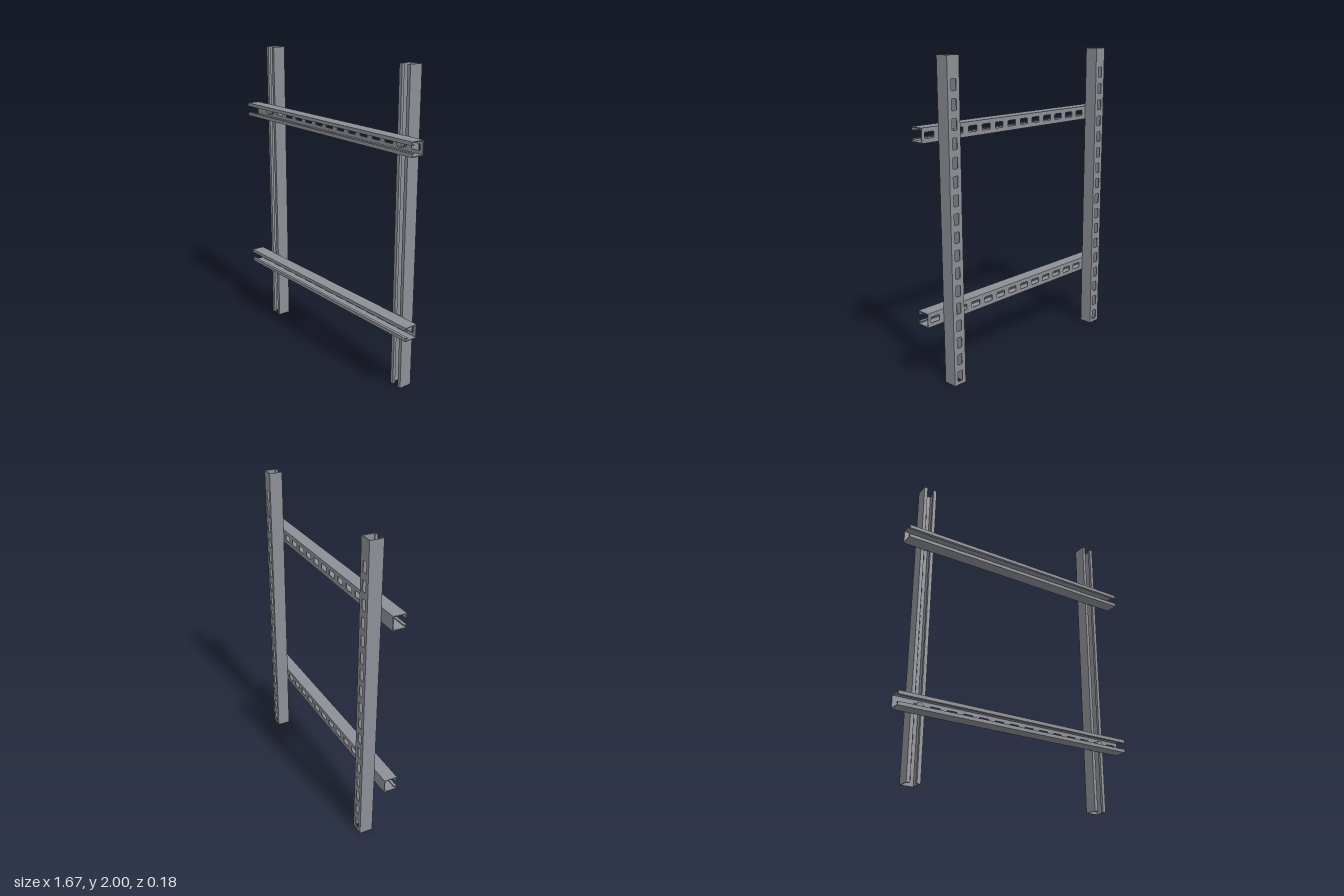
import * as THREE from 'three';

const W = 0.089;      // channel width
const D = 0.088;      // channel depth
const T = 0.0055;     // sheet thickness
const LIP = 0.0225;   // lip width
const RETURN = 0.019; // depth of the inward return
const PITCH = 0.1113; // slot spacing

const steel = new THREE.MeshStandardMaterial({ color: 0x8c8f96 });
steel.name = 'galvanised steel';

function mesh(name, geometry) {
  const m = new THREE.Mesh(geometry, steel);
  m.name = name;
  return m;
}

// Small rounded rectangle used for the slots
function slotPath(cx, cy, w, h, r) {
  const p = new THREE.Path();
  const x = w / 2, y = h / 2;
  p.moveTo(cx - x + r, cy - y);
  p.lineTo(cx + x - r, cy - y);
  p.quadraticCurveTo(cx + x, cy - y, cx + x, cy - y + r);
  p.lineTo(cx + x, cy + y - r);
  p.quadraticCurveTo(cx + x, cy + y, cx + x - r, cy + y);
  p.lineTo(cx - x + r, cy + y);
  p.quadraticCurveTo(cx - x, cy + y, cx - x, cy + y - r);
  p.lineTo(cx - x, cy - y + r);
  p.quadraticCurveTo(cx - x, cy - y, cx - x + r, cy - y);
  return p;
}

// Slotted channel along +y, web at z = -D, open side at z = 0
function channel(name, length, slots) {
  const g = new THREE.Group();
  g.name = name;

  const web = new THREE.Shape();
  web.moveTo(-W / 2, 0);
  web.lineTo(W / 2, 0);
  web.lineTo(W / 2, length);
  web.lineTo(-W / 2, length);
  web.closePath();
  for (let i = 0; i < slots; i++) {
    web.holes.push(slotPath(0, PITCH * (i + 0.5), 0.037, 0.068, 0.006));
  }
  const webGeo = new THREE.ExtrudeGeometry(web, { depth: T, bevelEnabled: false, curveSegments: 3 });
  webGeo.translate(0, 0, -D);
  g.add(mesh('slottedWeb', webGeo));

  // Flange, lip and return as one hooked section; shape y is depth behind the opening
  for (const s of [-1, 1]) {
    const o = W / 2, e = W / 2 - LIP;
    const section = [
      [o, D - T], [o, 0], [e, 0], [e, RETURN], [e + T, RETURN],
      [e + T, T], [o - T, T], [o - T, D - T],
    ].map(([x, y]) => new THREE.Vector2(s * x, y));
    const geo = new THREE.ExtrudeGeometry(new THREE.Shape(section), { depth: length, bevelEnabled: false });
    geo.rotateX(-Math.PI / 2);
    g.add(mesh(s > 0 ? 'leftFlange' : 'rightFlange', geo));
  }
  return g;
}

function cylinderZ(name, r, z0, z1, sides) {
  const geo = new THREE.CylinderGeometry(r, r, z1 - z0, sides);
  geo.rotateX(Math.PI / 2);
  geo.rotateZ(Math.PI / 2);
  geo.translate(0, 0, (z0 + z1) / 2);
  return mesh(name, sides > 6 ? geo : geo.toNonIndexed());
}

// Bolt through the rail, held by a channel nut inside the post
function fastener() {
  const g = new THREE.Group();
  g.name = 'fastener';
  g.add(cylinderZ('washer', 0.026, T, 0.01, 24));
  g.add(cylinderZ('boltHead', 0.025, 0.01, 0.028, 6));
  g.add(cylinderZ('boltShank', 0.0135, -0.07, 0.01, 20));
  const nut = mesh('channelNut', new THREE.BoxGeometry(0.075, 0.045, 0.016));
  nut.position.z = -RETURN - 0.008;
  g.add(nut);
  const nutCore = mesh('channelNutCore', new THREE.BoxGeometry(0.04, 0.045, 0.012));
  nutCore.position.z = -0.014;
  g.add(nutCore);
  return g;
}

export function createModel() {
  const model = new THREE.Group();
  model.name = 'channelFrame';
  const postX = 0.668, railLength = 1.67, railY = [0.445, 1.558];

  for (const s of [-1, 1]) {
    const post = channel(s > 0 ? 'leftPost' : 'rightPost', 2, 17);
    post.position.x = s * postX;
    model.add(post);
  }

  railY.forEach((y, i) => {
    const rail = channel(i ? 'upperRail' : 'lowerRail', railLength, 14);
    rail.rotation.z = Math.PI / 2;
    rail.position.set(railLength / 2, y, D);
    model.add(rail);
    for (const s of [-1, 1]) {
      const f = fastener();
      f.position.set(s * postX, y, 0);
      model.add(f);
    }
  });
  return model;
}
